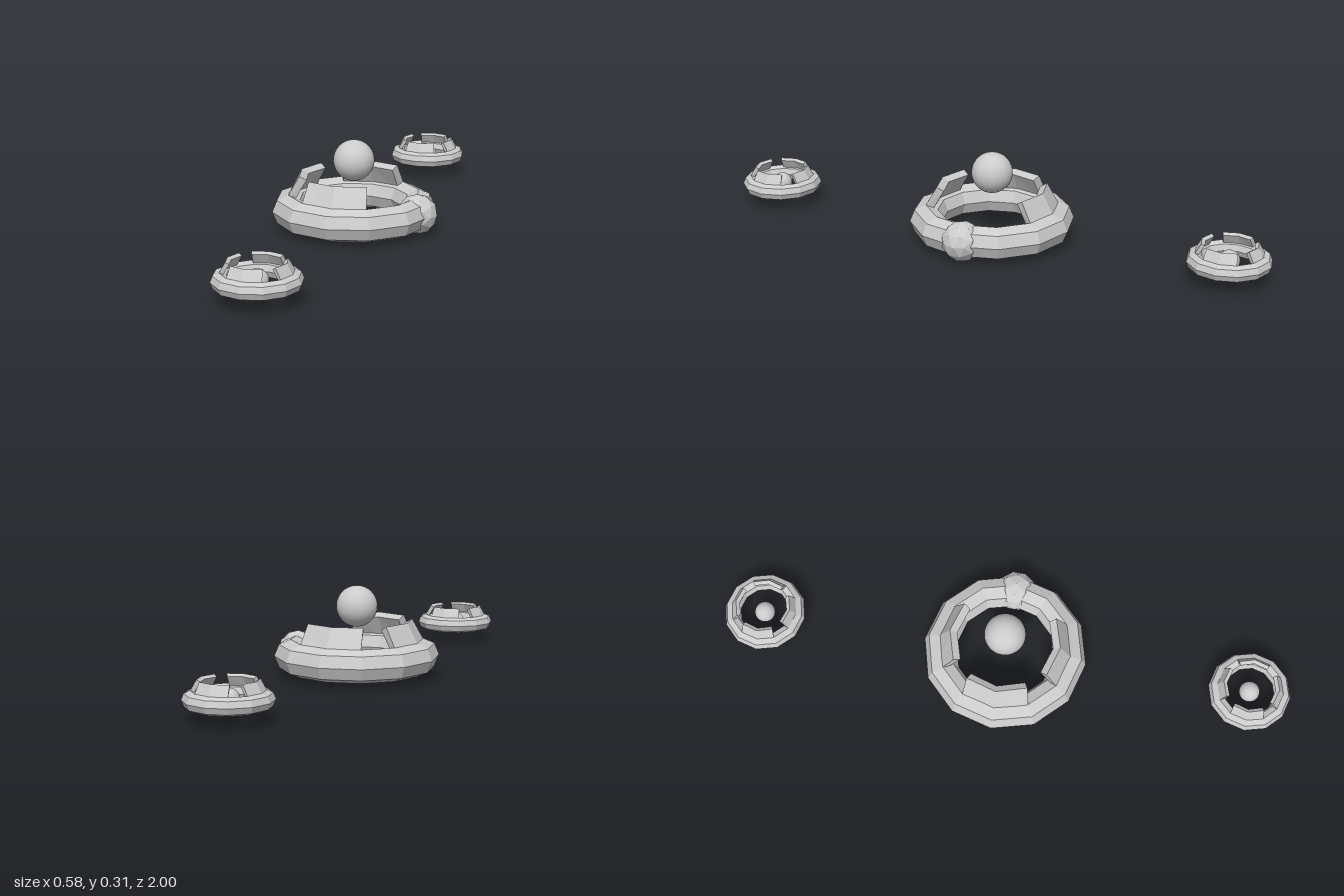
import * as THREE from 'three';

const flat = new THREE.MeshStandardMaterial({ color: 0xcccccc, flatShading: true });
const smooth = new THREE.MeshStandardMaterial({ color: 0xcccccc });

function add(parent, name, geometry, material) {
  const mesh = new THREE.Mesh(geometry, material);
  mesh.name = name;
  parent.add(mesh);
  return mesh;
}

// Inward-leaning wall panel on the +z side, bent once in the middle.
// Corners [radius, height, half angle in degrees], heights relative to the ring centre.
function panelGeometry() {
  const section = [
    [0.245, 0.027, 29], // outer bottom
    [0.192, 0.124, 33], // outer top
    [0.167, 0.110, 34], // inner top
    [0.212, 0.027, 29], // inner bottom
  ];
  const positions = [];
  const index = [];
  for (const side of [-1, 0, 1]) {
    for (const [r, y, deg] of section) {
      const a = THREE.MathUtils.degToRad(deg) * side;
      positions.push(r * Math.sin(a), y, r * Math.cos(a));
    }
  }
  for (let s = 0; s < 2; s++) {
    for (let k = 0; k < 4; k++) {
      const a = s * 4 + k, b = s * 4 + (k + 1) % 4;
      index.push(a, a + 4, b, b, a + 4, b + 4);
    }
  }
  index.push(0, 1, 2, 0, 2, 3, 8, 10, 9, 8, 11, 10); // end caps
  const g = new THREE.BufferGeometry();
  g.setAttribute('position', new THREE.Float32BufferAttribute(positions, 3));
  g.setIndex(index);
  const out = g.toNonIndexed();
  out.computeVertexNormals();
  return out;
}

// Faceted ring with panels at the given quarter turns and a ball
function makeStation(name, quarterTurns, ballHeight) {
  const station = new THREE.Group();
  station.name = name;
  add(station, 'ring', new THREE.TorusGeometry(0.228, 0.057, 8, 12).rotateX(-Math.PI / 2), flat);
  for (const q of quarterTurns) {
    add(station, 'wallPanel', panelGeometry(), flat).rotation.y = q * Math.PI / 2;
  }
  add(station, 'ball', new THREE.SphereGeometry(0.071, 32, 20), smooth).position.y = ballHeight;
  return station;
}

export function createModel() {
  const model = new THREE.Group();
  model.name = 'ringStations';

  // Main ring: open towards +x, where the side knob sits
  const main = makeStation('mainStation', [0, 2, 3], 0.171);
  main.position.set(-0.008, 0.073, 0);
  add(main, 'sideKnob', new THREE.IcosahedronGeometry(0.07, 1), flat).position.x = 0.23;
  model.add(main);

  // Half-size rings in front and behind
  for (const side of [1, -1]) {
    const small = makeStation(side > 0 ? 'frontStation' : 'backStation', [0, 1, 2, 3], 0);
    small.scale.setScalar(0.5);
    small.position.set(-0.008, 0.073, side * 0.858);
    model.add(small);
  }
  return model;
}
